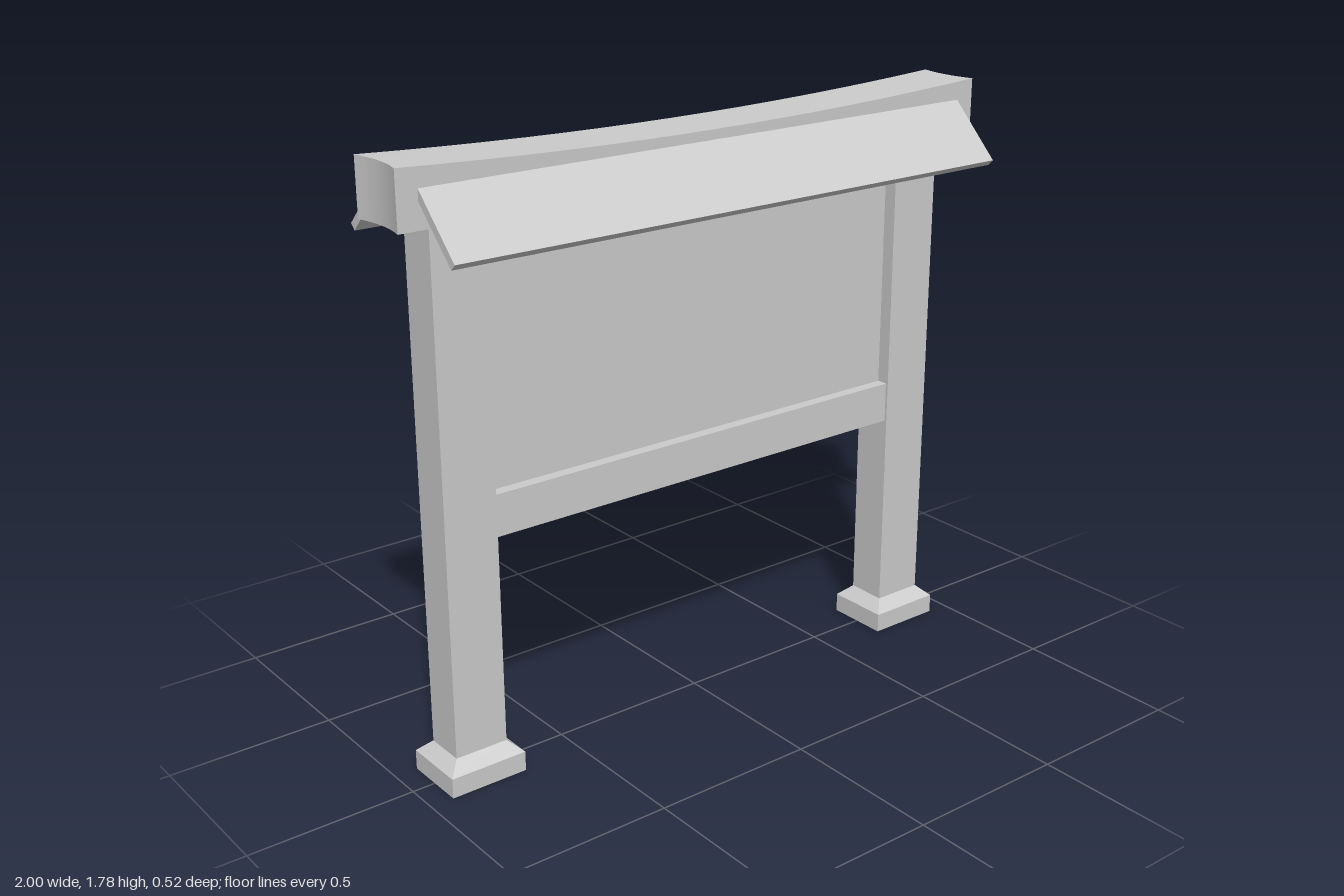
import * as THREE from 'three';

const material = new THREE.MeshStandardMaterial({ color: 0xcccccc });

function add(parent, name, geometry, x = 0, y = 0, z = 0) {
  const mesh = new THREE.Mesh(geometry, material);
  mesh.name = name;
  mesh.position.set(x, y, z);
  parent.add(mesh);
  return mesh;
}

// Move every vertex of a geometry by a rule
function reshape(geometry, rule) {
  const p = geometry.attributes.position;
  const v = new THREE.Vector3();
  for (let i = 0; i < p.count; i++) {
    rule(v.fromBufferAttribute(p, i));
    p.setXYZ(i, v.x, v.y, v.z);
  }
  geometry.computeVertexNormals();
  return geometry;
}

export function createModel() {
  const model = new THREE.Group();
  model.name = 'noticeBoard';

  // Posts on chamfered feet
  for (const side of [1, -1]) {
    const leg = new THREE.Group();
    leg.name = side > 0 ? 'leftLeg' : 'rightLeg';
    leg.position.x = side * 0.81;
    model.add(leg);

    add(leg, 'foot', new THREE.BoxGeometry(0.24, 0.06, 0.2), 0, 0.03, 0);
    const chamfer = reshape(new THREE.BoxGeometry(0.24, 0.035, 0.2), (v) => {
      if (v.y > 0) {
        v.x *= 0.082 / 0.12;
        v.z *= 0.063 / 0.1;
      }
    });
    add(leg, 'footChamfer', chamfer, 0, 0.0775, 0);
    add(leg, 'post', new THREE.BoxGeometry(0.164, 1.545, 0.126), 0, 0.8575, 0);

    // Braces reaching out to the eave boards at 45 degrees
    for (const face of [1, -1]) {
      const brace = add(leg, 'brace', new THREE.BoxGeometry(0.05, 0.18, 0.043), 0, 1.577, face * 0.102);
      brace.rotation.x = face * Math.PI / 4;
    }
  }

  // Recessed panel between two rails
  add(model, 'panel', new THREE.BoxGeometry(1.46, 0.69, 0.04), 0, 1.18, 0);
  add(model, 'lowerRail', new THREE.BoxGeometry(1.46, 0.125, 0.11), 0, 0.7825, 0);
  add(model, 'upperRail', new THREE.BoxGeometry(1.46, 0.11, 0.11), 0, 1.57, 0);

  // Ridge beam with sagging top and slightly hollow ends
  const beam = reshape(new THREE.BoxGeometry(2, 0.165, 0.2, 16, 1, 6), (v) => {
    if (v.y > 0) v.y -= 0.03 * (1 - v.x * v.x);
    v.x *= 1 - 0.014 * (1 - (v.z / 0.1) ** 2);
  });
  add(model, 'ridgeBeam', beam, 0, 1.7025, 0);

  // Sloping eave boards, front and back
  for (const face of [1, -1]) {
    const board = add(model, face > 0 ? 'frontEave' : 'backEave',
      new THREE.BoxGeometry(1.876, 0.024, 0.225), 0, 1.6385, face * 0.1715);
    board.rotation.x = face * Math.PI / 4;
  }

  return model;
}
